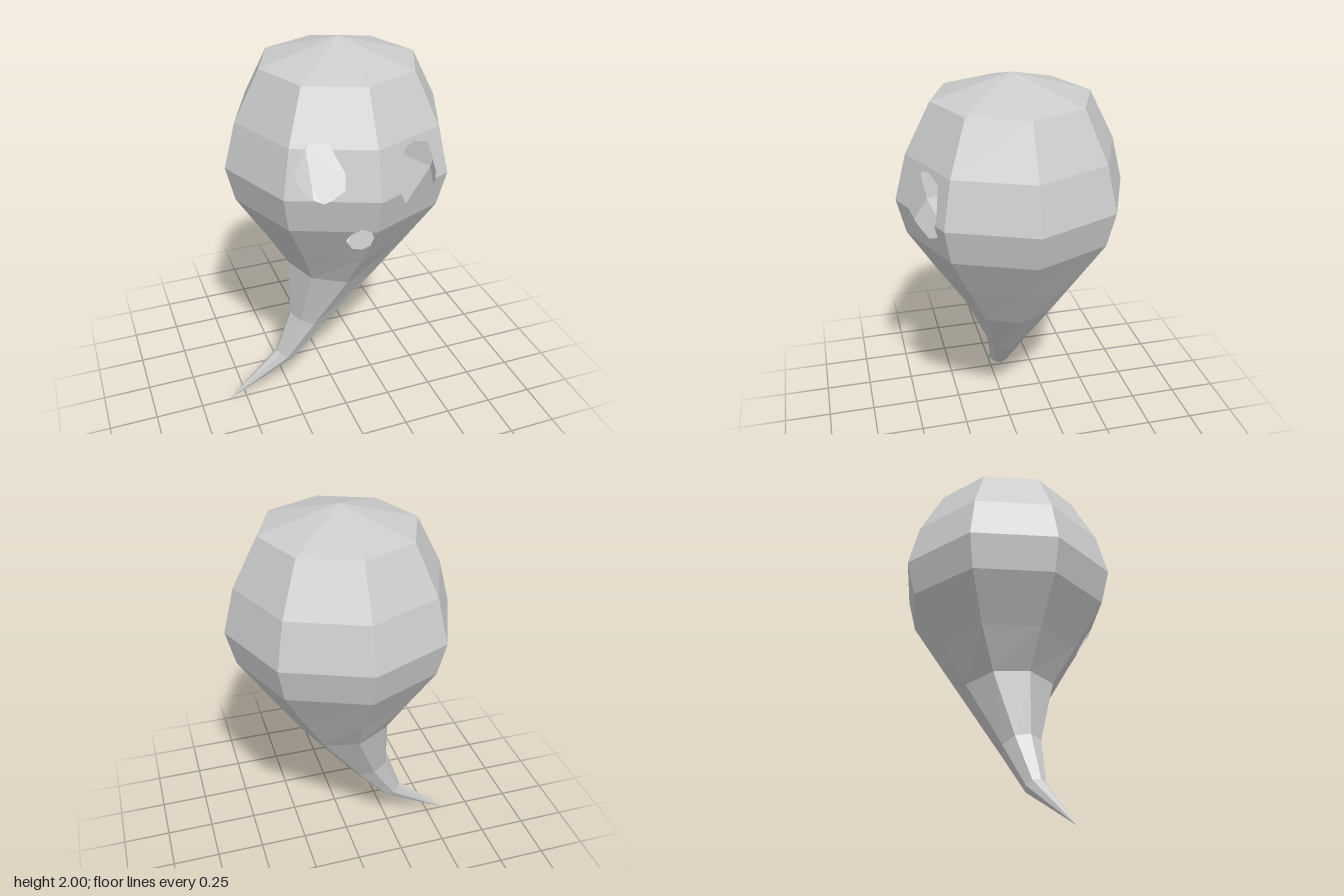
import * as THREE from 'three';

// Rings from top to tail: centre x, centre y, x radius, z radius, tilt (y rise toward +x)
const RINGS = [
  [0.035, 1.89, 0.38, 0.38, 0],
  [0.035, 1.65, 0.505, 0.505, 0],
  [0.034, 1.425, 0.563, 0.563, 0],
  [0.033, 1.25, 0.52, 0.52, 0],
  [0.03, 1.02, 0.372, 0.375, 0],
  [0.003, 0.8, 0.233, 0.235, -0.03],
  [-0.13, 0.47, 0.1, 0.1, -0.04],
  [-0.267, 0.243, 0.048, 0.05, -0.028],
];
const TOP = new THREE.Vector3(0.035, 2, 0);
const TIP = new THREE.Vector3(-0.6, 0, 0);
const SIDES = 8;

// Convex outlines of the openings, as seen from the front
const leftEye = [[0.13, 1.525], [0.19, 1.62], [0.24, 1.63], [0.32, 1.6], [0.36, 1.46],
  [0.35, 1.36], [0.26, 1.315], [0.18, 1.36], [0.125, 1.47]];
const rightEye = [[-0.31, 1.545], [-0.24, 1.67], [-0.16, 1.67], [-0.105, 1.55], [-0.11, 1.475],
  [-0.16, 1.435], [-0.2, 1.41], [-0.27, 1.445], [-0.305, 1.51]];
const mouth = [[-0.07, 1.23], [-0.035, 1.265], [0.01, 1.255], [0.031, 1.21], [0.031, 1.14],
  [0.005, 1.105], [-0.04, 1.11], [-0.08, 1.175]];
const HOLES = { 1: [leftEye], 2: [rightEye, mouth] }; // by front sector

function ringPoint(i, k) {
  const [cx, cy, rx, rz, tilt] = RINGS[i];
  const a = (k / SIDES) * Math.PI * 2;
  return new THREE.Vector3(cx + rx * Math.cos(a), cy + tilt * Math.cos(a), rz * Math.sin(a));
}

// Extent in x of a convex outline at height y
function span(outline, y) {
  const xs = [];
  outline.forEach(([x0, y0], i) => {
    const [x1, y1] = outline[(i + 1) % outline.length];
    if (y < Math.min(y0, y1) || y > Math.max(y0, y1)) return;
    if (y0 === y1) xs.push(x0, x1);
    else xs.push(x0 + ((x1 - x0) * (y - y0)) / (y1 - y0));
  });
  return [Math.max(...xs), Math.min(...xs)];
}

function shell() {
  const pos = [];
  const tri = (...pts) => pts.forEach((p) => pos.push(p.x, p.y, p.z));
  const quad = (a, b, c, d) => { // upper pair a b, lower pair c d
    tri(c, a, d);
    tri(a, b, d);
  };

  // A facet cut into horizontal slices that stop at the openings
  function piercedFacet(i, k, holes) {
    const [a, b, c, d] = [ringPoint(i, k), ringPoint(i, k + 1), ringPoint(i + 1, k), ringPoint(i + 1, k + 1)];
    const cuts = holes.flat().map((p) => p[1]).filter((y) => y < a.y && y > c.y);
    const ys = [...new Set([a.y, c.y, ...cuts])].sort((p, q) => q - p);
    const row = (y, hole) => {
      const t = (a.y - y) / (a.y - c.y);
      const s = a.clone().lerp(c, t), e = b.clone().lerp(d, t);
      if (!hole) return [s, e];
      const inner = span(hole, y).map((x) => s.clone().lerp(e, (x - s.x) / (e.x - s.x)));
      return [s, ...inner, e];
    };
    for (let j = 0; j < ys.length - 1; j++) {
      const mid = (ys[j] + ys[j + 1]) / 2;
      const hole = holes.find((h) => h.some((p) => p[1] > mid) && h.some((p) => p[1] < mid));
      const u = row(ys[j], hole), l = row(ys[j + 1], hole);
      for (let m = 0; m < u.length; m += 2) quad(u[m], u[m + 1], l[m], l[m + 1]);
    }
  }

  const last = RINGS.length - 1;
  for (let k = 0; k < SIDES; k++) {
    tri(ringPoint(0, k), TOP, ringPoint(0, k + 1));
    for (let i = 0; i < last; i++) {
      if (HOLES[k] && i < 4) piercedFacet(i, k, HOLES[k]);
      else quad(ringPoint(i, k), ringPoint(i, k + 1), ringPoint(i + 1, k), ringPoint(i + 1, k + 1));
    }
    tri(TIP, ringPoint(last, k), ringPoint(last, k + 1));
  }
  const geo = new THREE.BufferGeometry();
  geo.setAttribute('position', new THREE.Float32BufferAttribute(pos, 3));
  geo.computeVertexNormals();
  return geo;
}

export function createModel() {
  const group = new THREE.Group();
  group.name = 'ghost';
  // Hollow faceted body with eye and mouth openings and a curled tail
  const body = new THREE.Mesh(shell(), new THREE.MeshStandardMaterial({
    color: 0xcccccc, flatShading: true, side: THREE.DoubleSide,
  }));
  body.name = 'body';
  group.add(body);
  return group;
}
